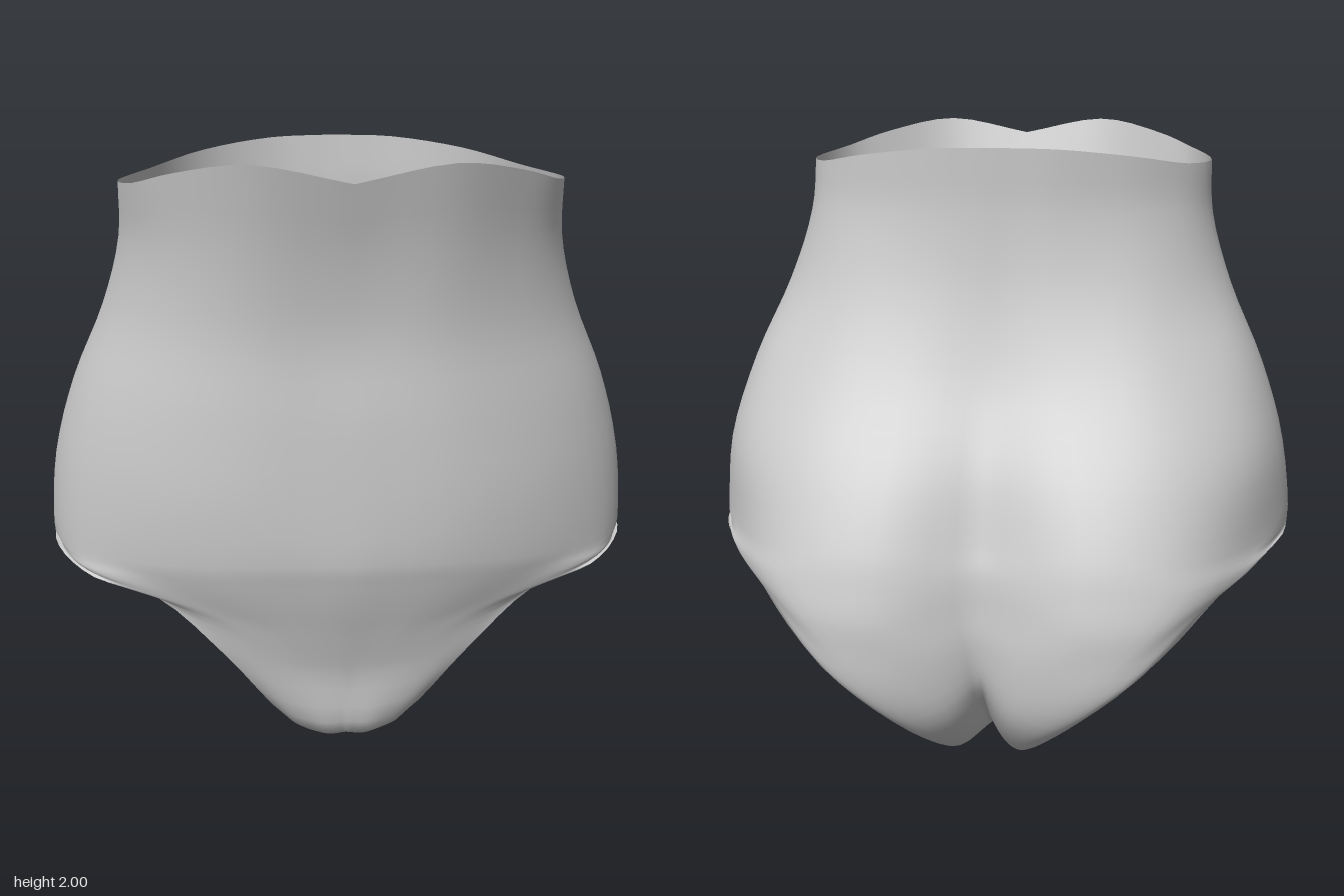
import * as THREE from 'three';
import { mergeGeometries, mergeVertices } from 'three/addons/utils/BufferGeometryUtils.js';

// Guide lines run from the waist rim down to the middle of the gusset.
// Every line has 13 stations; the first 6 are above the leg openings.
const HIP = 5, LAST = 12, ROW_STEPS = 4, COL_STEPS = 4;

const frontCentre = [[0, 1.95, .725], [0, 1.73, .66], [0, 1.5, .625], [0, 1.25, .64], [0, 1, .645], [0, .81, .64],
  [0, .74, .625], [0, .65, .6], [0, .53, .56], [0, .38, .515], [0, .16, .475], [0, .09, .28], [0, .035, 0]];
const frontInner = [[.27, 2, .71], [.27, 1.75, .65], [.28, 1.5, .615], [.32, 1.25, .615], [.34, 1, .615], [.34, .8, .6],
  [.33, .73, .585], [.28, .65, .57], [.17, .535, .55], [.1, .385, .515], [.06, .155, .475], [.04, .085, .28], [.03, .03, 0]];
const frontMiddle = [[.48, 1.96, .57], [.48, 1.74, .53], [.52, 1.5, .5], [.6, 1.25, .49], [.64, 1, .49], [.66, .77, .47],
  [.6, .72, .49], [.5, .66, .51], [.32, .56, .53], [.2, .4, .51], [.11, .16, .46], [.075, .08, .275], [.06, .02, 0]];
const frontOuter = [[.6, 1.915, .44], [.61, 1.73, .39], [.68, 1.5, .33], [.78, 1.25, .31], [.85, 1, .29], [.87, .75, .29],
  [.8, .71, .38], [.66, .675, .455], [.45, .595, .5], [.29, .42, .5], [.16, .17, .44], [.11, .085, .265], [.085, .01, 0]];

const backCentre = [[0, 1.95, -.31], [0, 1.75, -.305], [0, 1.5, -.33], [0, 1.25, -.4], [0, 1, -.52], [0, .8, -.58],
  [0, .72, -.605], [0, .62, -.615], [0, .5, -.62], [0, .36, -.59], [0, .22, -.46], [0, .08, -.27], [0, .035, 0]];
const backInner = [[.2, 1.945, -.29], [.2, 1.75, -.29], [.22, 1.5, -.33], [.26, 1.25, -.425], [.28, 1, -.585], [.3, .8, -.68],
  [.3, .7, -.71], [.28, .58, -.73], [.16, .44, -.7], [.09, .27, -.64], [.05, .14, -.49], [.04, .05, -.28], [.03, .03, 0]];
const backMiddle = [[.42, 1.92, -.19], [.43, 1.75, -.2], [.48, 1.5, -.26], [.54, 1.25, -.38], [.58, 1, -.53], [.6, .78, -.62],
  [.6, .7, -.65], [.5, .58, -.71], [.32, .41, -.73], [.18, .24, -.66], [.1, .1, -.5], [.07, .03, -.28], [.06, .02, 0]];
const backOuter = [[.58, 1.89, -.01], [.6, 1.74, -.03], [.67, 1.5, -.07], [.76, 1.25, -.2], [.82, 1, -.3], [.83, .76, -.33],
  [.8, .71, -.42], [.63, .62, -.62], [.44, .43, -.715], [.25, .25, -.665], [.14, .1, -.49], [.1, .015, -.28], [.085, .01, 0]];

// Side seam, which splits into the front and back edges of the leg opening
const sideSeam = [[.66, 1.89, .22], [.67, 1.72, .2], [.735, 1.5, .13], [.845, 1.25, .08], [.92, 1, .03], [.945, .74, 0]];
const legFront = [[.91, .72, .22], [.78, .69, .4], [.58, .64, .46], [.38, .45, .485], [.2, .19, .41], [.135, .1, .25], [.105, 0, 0]];
const legBack = [[.88, .725, -.26], [.71, .655, -.52], [.54, .5, -.655], [.32, .3, -.655], [.17, .13, -.47], [.115, .02, -.27], [.105, 0, 0]];

const spline = (points) => new THREE.CatmullRomCurve3(points);
const guide = (points) => spline(points.map((p) => new THREE.Vector3(...p)));

const frontGuides = [frontCentre, frontInner, frontMiddle, frontOuter, [...sideSeam, ...legFront]].map(guide);
const backGuides = [backCentre, backInner, backMiddle, backOuter, [...sideSeam, ...legBack]].map(guide);

// One row of a panel from the centre line out to its edge
function panelRow(own, other, row) {
  const t = row / (LAST * ROW_STEPS);
  const points = own.map((g) => g.getPoint(t));
  const columns = (own.length - 1) * COL_STEPS;
  let curve, span = 1;
  if (row <= HIP * ROW_STEPS) {
    // Above the legs the curve runs on round the side, so the seam stays smooth
    const rest = other.slice(0, -1).reverse().map((g) => g.getPoint(t));
    curve = spline([...points, ...rest]);
    span = 0.5;
  } else {
    curve = spline(points);
  }
  return Array.from({ length: columns + 1 }, (_, i) => curve.getPoint((i / columns) * span));
}

// Quarter of the garment, skinned over its rows
function panel(own, other, side, isBack) {
  const position = [], index = [];
  const rows = LAST * ROW_STEPS, columns = (own.length - 1) * COL_STEPS, stride = columns + 1;
  for (let r = 0; r <= rows; r++) {
    for (const p of panelRow(own, other, r)) position.push(p.x * side, p.y, p.z);
  }
  const flip = (side < 0) !== isBack;
  for (let r = 0; r < rows; r++) {
    for (let c = 0; c < columns; c++) {
      const a = r * stride + c, b = a + 1, d = a + stride, e = d + 1;
      if (flip) index.push(a, b, d, b, e, d);
      else index.push(a, d, b, b, d, e);
    }
  }
  const geometry = new THREE.BufferGeometry();
  geometry.setAttribute('position', new THREE.Float32BufferAttribute(position, 3));
  geometry.setIndex(index);
  return geometry;
}

export function createModel() {
  const group = new THREE.Group();
  group.name = 'highWaistBriefs';
  const quarters = [];
  for (const side of [1, -1]) {
    quarters.push(panel(frontGuides, backGuides, side, false));
    quarters.push(panel(backGuides, frontGuides, side, true));
  }
  // Weld the quarters so the shading runs smoothly over the seams
  const geometry = mergeVertices(mergeGeometries(quarters), 1e-4);
  geometry.computeVertexNormals();
  const cloth = new THREE.MeshStandardMaterial({ color: 0xcccccc, side: THREE.DoubleSide });
  const shell = new THREE.Mesh(geometry, cloth);
  shell.name = 'fabricShell';
  group.add(shell);
  return group;
}
